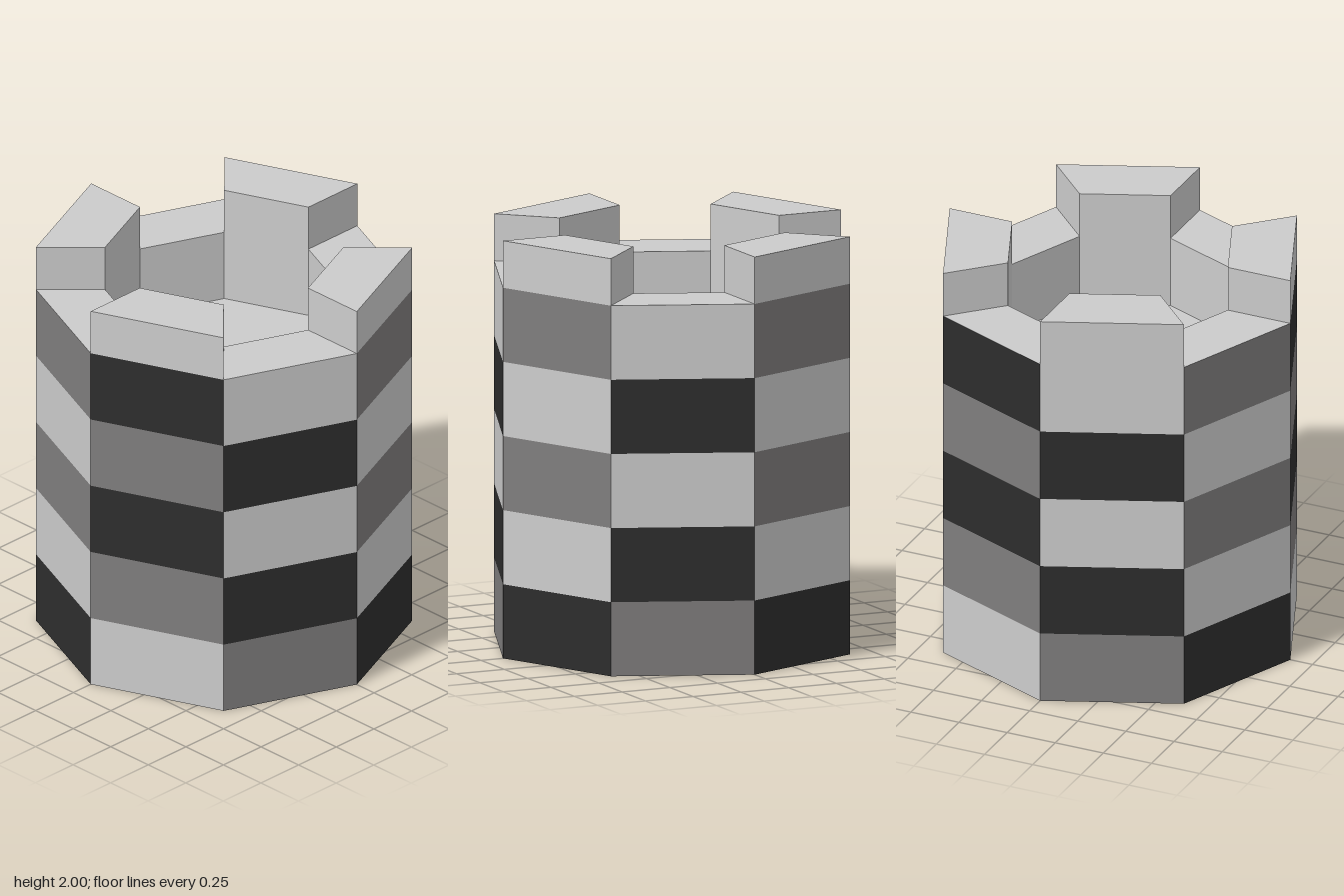
import * as THREE from 'three';

const SIDES = 8, OUTER = 0.885, INNER = 0.56;
const COURSE = 0.355, WALL_TOP = 5 * COURSE, FLOOR = 4 * COURSE, TOP = 2;

const material = (color) => new THREE.MeshStandardMaterial({ color, flatShading: true });

// Point on the octagon: corner index, radius, height
function corner(i, r, y) {
  const a = (i * 2 * Math.PI) / SIDES;
  return [r * Math.cos(a), y, r * Math.sin(a)];
}

// Flat-sided mesh from quads, corners counter-clockwise seen from outside
function quadMesh(name, quads, mat) {
  const geometry = new THREE.BufferGeometry();
  const points = quads.flatMap(([a, b, c, d]) => [a, b, c, a, c, d]).flat();
  geometry.setAttribute('position', new THREE.Float32BufferAttribute(points, 3));
  geometry.computeVertexNormals();
  const mesh = new THREE.Mesh(geometry, mat);
  mesh.name = name;
  return mesh;
}

const outerFace = (i, y0, y1) => [
  corner(i + 1, OUTER, y0), corner(i, OUTER, y0), corner(i, OUTER, y1), corner(i + 1, OUTER, y1)];
const innerFace = (i, y0, y1) => [
  corner(i, INNER, y0), corner(i + 1, INNER, y0), corner(i + 1, INNER, y1), corner(i, INNER, y1)];
const topFace = (i, y) => [
  corner(i + 1, OUTER, y), corner(i, OUTER, y), corner(i, INNER, y), corner(i + 1, INNER, y)];
const endFace = (i, y0, y1) => [
  corner(i, OUTER, y0), corner(i, INNER, y0), corner(i, INNER, y1), corner(i, OUTER, y1)];

function disc(name, radius, y, up, mat) {
  const mesh = new THREE.Mesh(new THREE.CircleGeometry(radius, SIDES), mat);
  mesh.name = name;
  mesh.rotation.x = up ? -Math.PI / 2 : Math.PI / 2;
  mesh.position.y = y;
  return mesh;
}

export function createModel() {
  const tower = new THREE.Group();
  tower.name = 'tower';
  const mats = { L: material(0xcccccc), M: material(0x7f7d7d), K: material(0x2d2d2d) };

  // Course colours of each side, bottom to top: light, mid, dark
  const patterns = { L: 'LMKMK', M: 'MKLKL', K: 'KLMLM' };
  const sides = 'MLKMLKMK';
  const panels = { L: [], M: [], K: [] };
  for (let i = 0; i < SIDES; i++) {
    [...patterns[sides[i]]].forEach((tone, row) =>
      panels[tone].push(outerFace(i, row * COURSE, (row + 1) * COURSE)));
  }
  tower.add(
    quadMesh('lightWallPanels', panels.L, mats.L),
    quadMesh('midWallPanels', panels.M, mats.M),
    quadMesh('darkWallPanels', panels.K, mats.K));

  // Parapet lining, with a merlon on every second side
  for (let i = 0; i < SIDES; i++) {
    const raised = i % 2 === 1;
    const quads = [innerFace(i, FLOOR, raised ? TOP : WALL_TOP), topFace(i, raised ? TOP : WALL_TOP)];
    if (raised) {
      quads.push(outerFace(i, WALL_TOP, TOP), endFace(i, WALL_TOP, TOP),
        endFace(i + 1, WALL_TOP, TOP).reverse());
    }
    tower.add(quadMesh(raised ? 'merlon' : 'crenel', quads, mats.L));
  }

  // Roof floor inside the parapet, and the underside
  tower.add(disc('roofFloor', INNER, FLOOR, true, mats.L), disc('base', OUTER, 0, false, mats.L));
  return tower;
}
